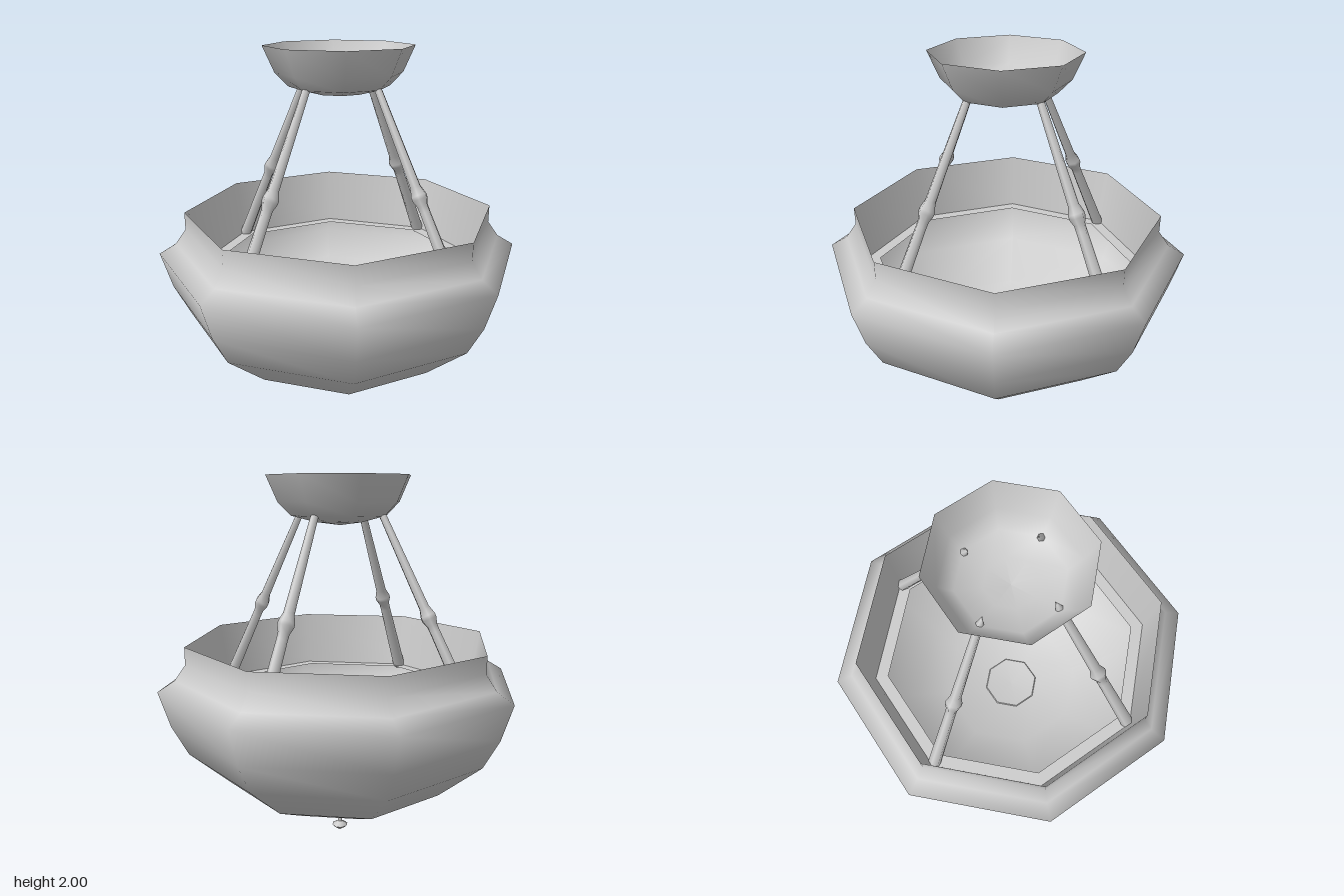
import * as THREE from 'three';

const material = new THREE.MeshStandardMaterial({ color: 0xcccccc, side: THREE.DoubleSide });

// Smooth-shaded turned part from [radius, height] pairs
function turned(name, profile, sides = 8) {
  const points = profile.map(([r, y]) => new THREE.Vector2(r, y));
  const mesh = new THREE.Mesh(new THREE.LatheGeometry(points, sides), material);
  mesh.name = name;
  return mesh;
}

export function createModel() {
  const lamp = new THREE.Group();
  lamp.name = 'pendantLamp';

  // Octagonal bowl with flared shoulder and upright rim
  lamp.add(turned('bowl', [
    [0, 0.2], [0.16, 0.205], [0.41, 0.26], [0.6, 0.35], [0.835, 0.55], [0.92, 0.71],
    [0.98, 0.905], [0.89, 0.96], [0.832, 1.04], [0.832, 1.135],
  ]));
  // Inner wall of the rim and the ledge that carries the rods
  lamp.add(turned('rimInnerWall', [[0.832, 1.135], [0.78, 0.83]]));
  lamp.add(turned('rimLedge', [[0.78, 0.83], [0.71, 0.83]]));

  // Cap, stem and drop below the bowl
  lamp.add(turned('finialCap', [
    [0.012, 0.105], [0.08, 0.125], [0.165, 0.18], [0.175, 0.195], [0.16, 0.212],
  ]));
  lamp.add(turned('finialStem', [[0.013, 0.055], [0.013, 0.11]]));
  lamp.add(turned('finialDrop', [[0, 0.004], [0.035, 0.028], [0.045, 0.04], [0.013, 0.06]]));

  // Open ceiling canopy
  lamp.add(turned('canopy', [
    [0, 1.745], [0.13, 1.762], [0.26, 1.795], [0.33, 1.865], [0.39, 2],
  ]));

  // Four sloping rods, each with a knob and a pointed upper end
  const foot = new THREE.Vector3(0, 0.83, 0.765);
  const tip = new THREE.Vector3(0, 1.84, 0.228);
  const length = foot.distanceTo(tip);
  const rodProfile = [
    [0.035, 0], [0.028, 0.45], [0.029, 0.485], [0.042, 0.52], [0.042, 0.54],
    [0.028, 0.585], [0.02, length - 0.05], [0, length],
  ];
  for (let i = 0; i < 4; i++) {
    const arm = new THREE.Group();
    arm.name = 'rod' + (i + 1);
    const rod = turned('rodShaft', rodProfile, 6);
    rod.position.copy(foot);
    rod.quaternion.setFromUnitVectors(
      new THREE.Vector3(0, 1, 0), tip.clone().sub(foot).normalize());
    arm.add(rod);
    arm.rotation.y = i * Math.PI / 2;
    lamp.add(arm);
  }
  return lamp;
}
